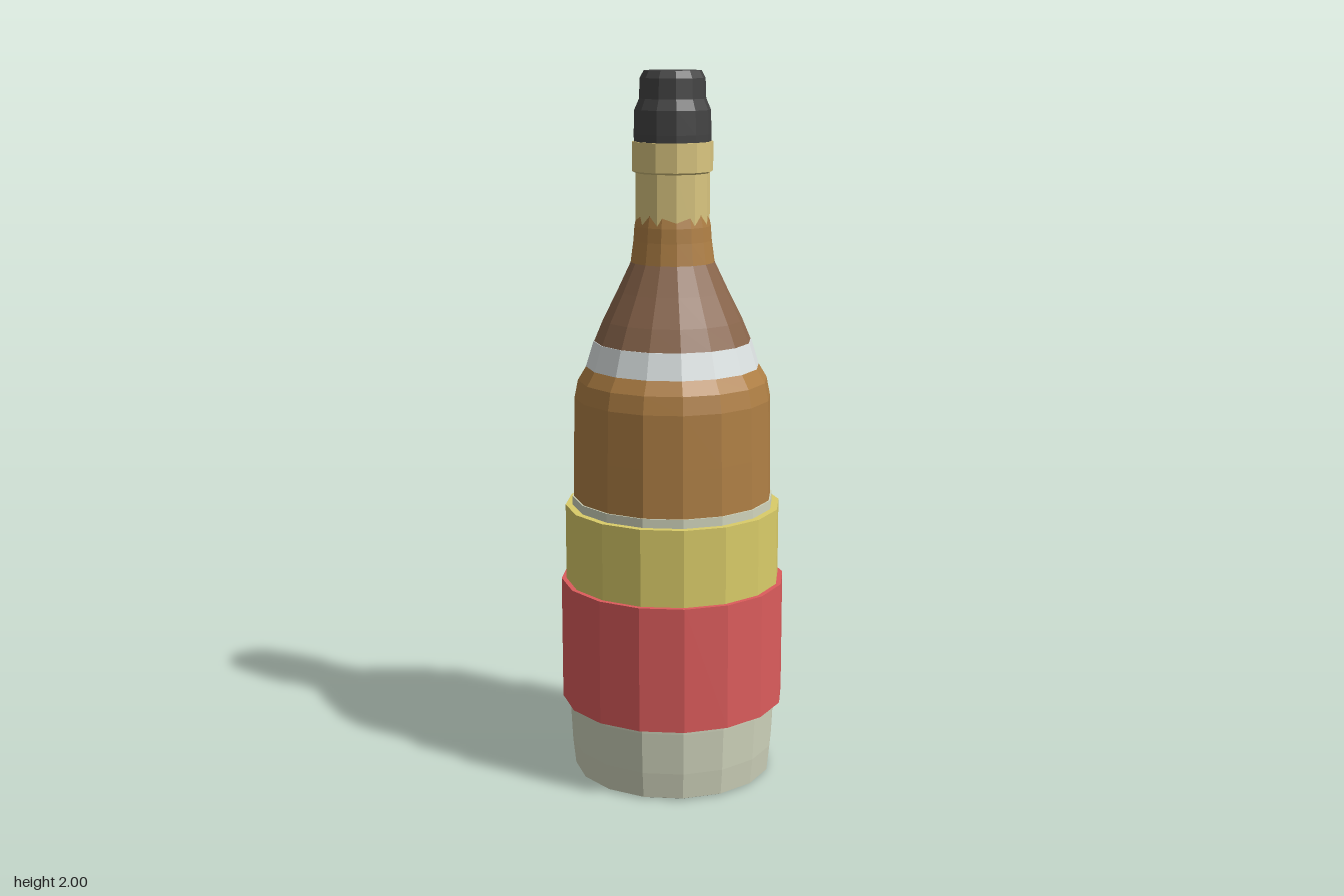
import * as THREE from 'three';

const material = (name, color) => {
  const m = new THREE.MeshStandardMaterial({ color, flatShading: true });
  m.name = name;
  return m;
};

export function createModel() {
  const bottle = new THREE.Group();
  bottle.name = 'bottle';

  const amber = material('amber glass', 0xb08045);
  const brown = material('brown label', 0x8a664c);
  const white = material('white band', 0xdce2e2);
  const pale = material('pale base label', 0xd0d4bc);
  const yellow = material('yellow band', 0xdacc69);
  const red = material('red band', 0xdc5c5c);
  const gold = material('gold foil', 0xdac680);
  const black = material('black cap', 0x434343);

  // Turned part: [radius, height] profile running upwards on the outside
  const turn = (name, mat, sides, profile) => {
    const points = profile.map(([r, y]) => new THREE.Vector2(r, y));
    const mesh = new THREE.Mesh(new THREE.LatheGeometry(points, sides), mat);
    mesh.name = name;
    bottle.add(mesh);
  };
  // Sleeve with flat rims closing onto the bottle wall
  const sleeve = (name, mat, r, y0, y1) =>
    turn(name, mat, 16, [[0.27, y0], [r, y0], [r, y1], [0.27, y1]]);

  // Glass body, label bands and shoulder
  turn('bottleFloor', amber, 16, [[0, 0], [0.275, 0]]);
  turn('baseLabel', pale, 16, [
    [0.275, 0], [0.285, 0.005], [0.293, 0.08], [0.299, 0.2], [0.299, 0.3],
    [0.288, 0.6], [0.286, 0.815], [0.275, 0.815],
  ]);
  turn('body', amber, 16, [
    [0.282, 0.8], [0.28, 0.95], [0.277, 1.1], [0.267, 1.15], [0.243, 1.19],
  ]);
  turn('shoulderBand', white, 16, [[0.24, 1.185], [0.245, 1.185], [0.222, 1.26], [0.216, 1.26]]);
  turn('shoulderLabel', brown, 16, [[0.221, 1.258], [0.195, 1.32], [0.155, 1.4], [0.117, 1.48]]);
  turn('neck', amber, 16, [[0.117, 1.48], [0.109, 1.54], [0.106, 1.58], [0.1, 1.61], [0.095, 1.66]]);

  // Wrapped sleeves
  sleeve('yellowSleeve', yellow, 0.306, 0.4, 0.79);
  sleeve('redSleeve', red, 0.32, 0.215, 0.572);

  // Neck foil with a collar, then the cap
  turn('neckFoil', gold, 12, [
    [0.103, 1.56], [0.103, 1.725], [0.112, 1.73], [0.112, 1.81], [0.09, 1.81],
  ]);
  turn('cap', black, 12, [
    [0.106, 1.8], [0.107, 1.83], [0.105, 1.895], [0.092, 1.925],
    [0.09, 1.98], [0.079, 2], [0, 2],
  ]);

  return bottle;
}
